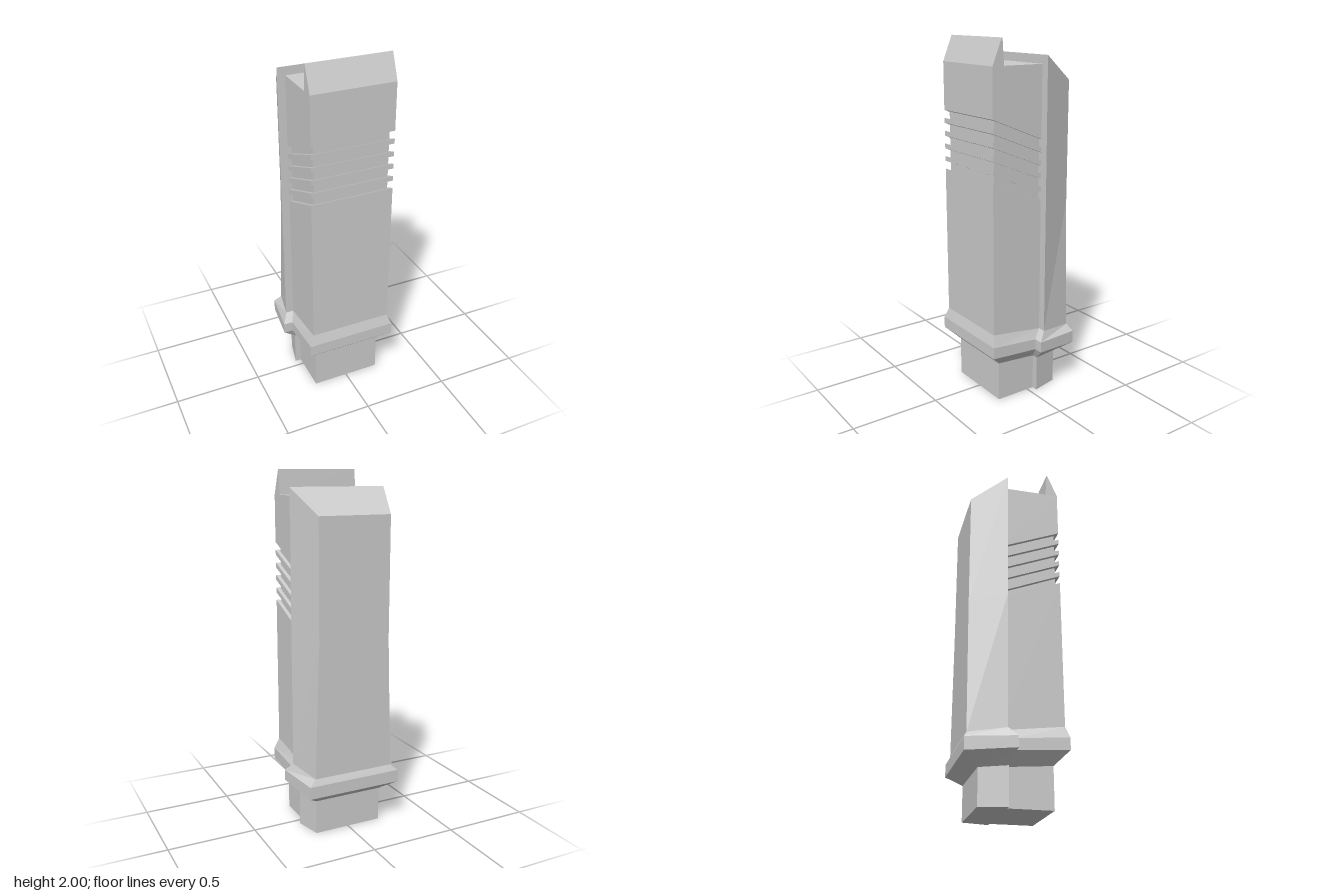
import * as THREE from 'three';

const material = new THREE.MeshStandardMaterial({ color: 0xcccccc, flatShading: true });

// Mirrors a half outline of [x, y, z] points, listed front to back, into a closed ring
function ring(half) {
  const left = half.map(([x, y, z]) => [-x, y, z]).reverse();
  return [...half, ...left];
}

// Skins a stack of rings from bottom to top and caps both ends
function loft(name, halves) {
  const rings = halves.map(ring);
  const n = rings[0].length;
  const pos = [];
  const tri = (a, b, c) => pos.push(...a, ...b, ...c);
  for (let k = 0; k < rings.length - 1; k++) {
    const lo = rings[k], hi = rings[k + 1];
    for (let i = 0; i < n; i++) {
      const j = (i + 1) % n;
      tri(lo[i], lo[j], hi[j]);
      tri(lo[i], hi[j], hi[i]);
    }
  }
  const cap = (r, up) => {
    const flat = r.map(([x, , z]) => new THREE.Vector2(x, -z));
    for (const [a, b, c] of THREE.ShapeUtils.triangulateShape(flat, [])) {
      if (up) tri(r[a], r[b], r[c]);
      else tri(r[a], r[c], r[b]);
    }
  };
  cap(rings[0], false);
  cap(rings[rings.length - 1], true);
  const geometry = new THREE.BufferGeometry();
  geometry.setAttribute('position', new THREE.Float32BufferAttribute(pos, 3));
  geometry.computeVertexNormals();
  const mesh = new THREE.Mesh(geometry, material);
  mesh.name = name;
  return mesh;
}

// T-shaped half outline with one height per corner
const tee = (xz, heights) => xz.map(([x, z], i) => [x, heights[i], z]);

export function createModel() {
  const group = new THREE.Group();
  group.name = 'grip';

  const footPlan = [[0.2, 0.2], [0.2, -0.04], [0.235, -0.04], [0.2, -0.19]];
  const rimPlan = [[0.26, 0.275], [0.26, -0.01], [0.312, -0.01], [0.275, -0.275]];
  const bodyPlan = [[0.235, 0.257], [0.235, -0.055], [0.28, -0.055], [0.235, -0.257]];
  const seamLow = [0.225, 0.205, 0.205, 0.195];
  const seamHigh = [0.425, 0.385, 0.385, 0.36];

  // Foot plug under the collar
  group.add(loft('foot', [tee(footPlan, [0, 0, 0, 0]), tee(footPlan, seamLow)]));

  // Tilted collar, bevelled above and below its rim
  group.add(loft('collar', [
    tee(footPlan, seamLow),
    tee(rimPlan, [0.297, 0.276, 0.276, 0.255]),
    tee(rimPlan, [0.363, 0.337, 0.337, 0.325]),
    tee(bodyPlan, seamHigh),
  ]));

  // Front body: sloping layers with five grooves cut round the front and sides
  const back = -0.08;
  const layer = (y, slope, inset) => [0.257 - inset, back].map(
    (z) => [0.235 - inset, y + slope * (z - 0.257), z]);
  const layers = [layer(0.425, 0.13, 0)];
  for (let i = 0; i < 5; i++) {
    const y = 1.27 + i * 0.0715;
    for (const [dy, inset] of [[0, 0], [0, 0.021], [0.044, 0.021], [0.044, 0]]) {
      layers.push(layer(y + dy, 0.41, inset));
    }
  }
  layers.push(layer(1.863, 0, 0));
  group.add(loft('frontBody', layers));

  // Wedge-shaped lip along the top front edge
  group.add(loft('frontLip', [
    [[0.235, 1.863, 0.257], [0.235, 1.863, 0.187]],
    [[0.235, 2, 0.201], [0.235, 2, 0.196]],
  ]));

  // Back body: tapered spine, flaring toward the collar, with a sloped top
  const spine = (yFront, yBack, w) => [[0.28, yFront, -0.055], [w, yBack, -0.257]];
  group.add(loft('backSpine', [
    spine(0.385, 0.36, 0.235),
    spine(1.14, 1.1, 0.21),
    spine(1.91, 1.77, 0.21),
  ]));

  return group;
}
